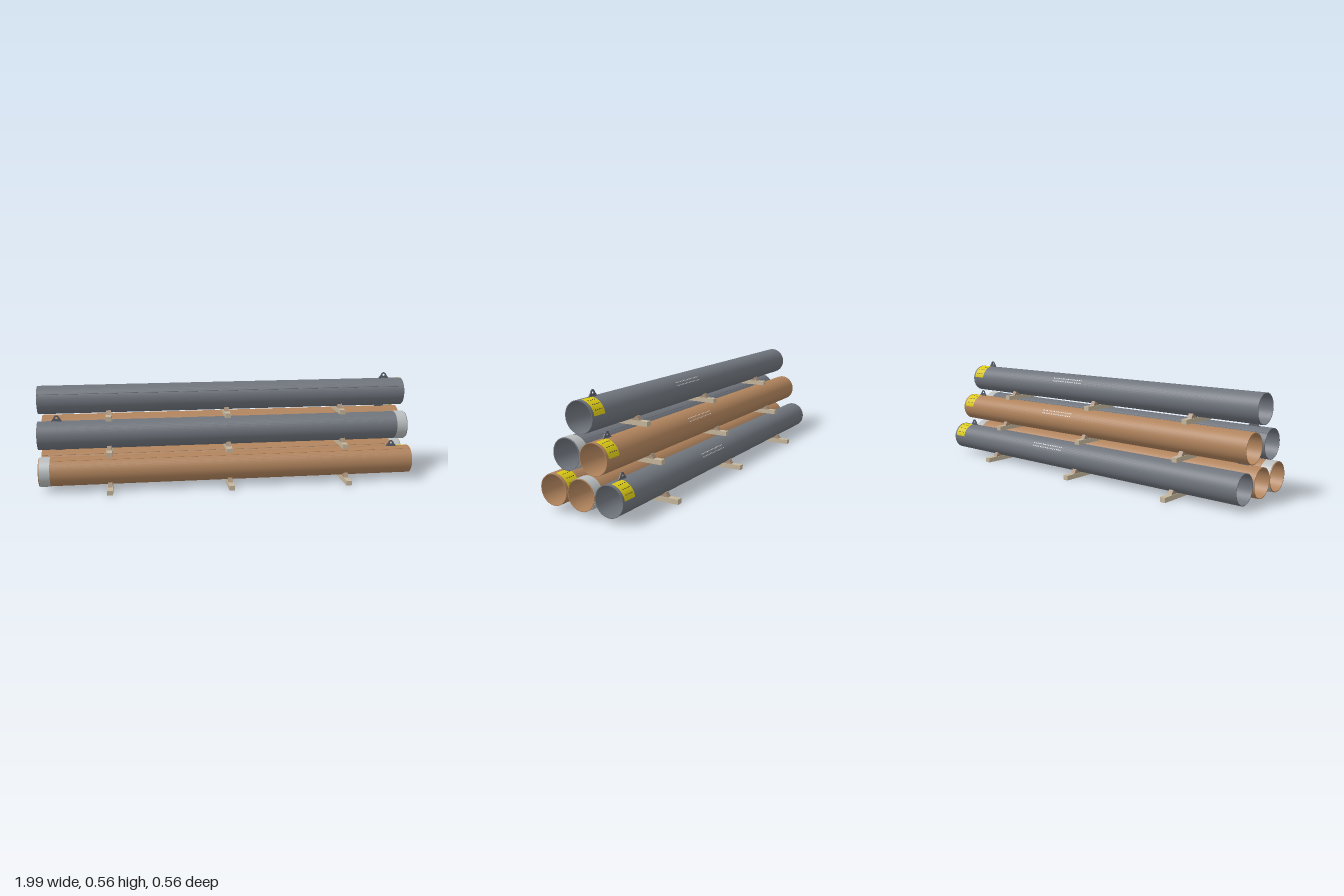
import * as THREE from 'three';
import { mergeGeometries } from 'three/addons/utils/BufferGeometryUtils.js';

const mat = (name, color) => {
  const m = new THREE.MeshStandardMaterial({ color });
  m.name = name;
  return m;
};

const R = 0.075, WALL = 0.0035, HALF = 0.993;
const rad = THREE.MathUtils.degToRad;

// Part of a surface of revolution round the x axis, from (x0, r0) to (x1, r1).
// Angles are in degrees from the top of the pipe towards the back.
function sweep(x0, r0, x1, r1, a0 = 0, a1 = 360, segments = 56) {
  const points = [new THREE.Vector2(r0, x0), new THREE.Vector2(r1, x1)];
  return new THREE.LatheGeometry(points, segments, -Math.PI / 2 - rad(a1), rad(a1 - a0)).rotateZ(-Math.PI / 2);
}

// Hollow tube with crisp rims
function tube(x0, x1, outer, inner) {
  return mergeGeometries([
    sweep(x0, outer, x1, outer), sweep(x1, outer, x1, inner),
    sweep(x1, inner, x0, inner), sweep(x0, inner, x0, outer),
  ]);
}

// Flat outline in x and y, given thickness and centred on z
function plate(shape, thickness) {
  return new THREE.ExtrudeGeometry(shape, { depth: thickness, bevelEnabled: false, curveSegments: 12 })
    .translate(0, 0, -thickness / 2);
}

// Lifting lug: rounded plate with an eye
function lugGeometry() {
  const s = new THREE.Shape();
  s.moveTo(-0.026, -0.002);
  s.lineTo(0.026, -0.002);
  s.lineTo(0.026, 0.004);
  s.lineTo(0.0135, 0.021);
  s.absarc(0, 0.0185, 0.0135, 0.2, Math.PI - 0.2, false);
  s.lineTo(-0.026, 0.004);
  s.closePath();
  const eye = new THREE.Path();
  eye.absarc(0, 0.018, 0.0065, 0, Math.PI * 2, true);
  s.holes.push(eye);
  const foot = new THREE.BoxGeometry(0.054, 0.004, 0.011).toNonIndexed();
  return mergeGeometries([plate(s, 0.005), foot]);
}

// Wedge lying against the lower flank of an end pipe
function wedgeGeometry() {
  const s = new THREE.Shape([[0.07, 0], [0.057, 0.022], [0.053, 0.022], [0.043, 0.0135], [0.031, 0.0065], [0.015, 0.001], [0.015, 0]]
    .map(([a, b]) => new THREE.Vector2(a, b)));
  return plate(s, 0.024).rotateY(-Math.PI / 2);
}

// Rows of small plain paint dashes
function dashes(angles, x0, x1, count, width, r) {
  const parts = [];
  const step = (x1 - x0) / count;
  for (const a of angles)
    for (let i = 0; i < count; i++)
      parts.push(sweep(x0 + i * step, r, x0 + (i + 0.55) * step, r, a, a + width, 3));
  return mergeGeometries(parts);
}

export function createModel() {
  const steel = mat('grey steel', 0x6f747c);
  const brown = mat('brown coating', 0xb0835c);
  const bandGrey = mat('pale band', 0xb9bdbd);
  const yellow = mat('yellow label', 0xdcca14);
  const timber = mat('timber', 0xc5b69c);
  const wedgeWood = mat('dark timber', 0xa8917a);
  const lugSteel = mat('dark steel', 0x5c6069);
  const white = mat('white paint', 0xdcdcdc);
  const dark = mat('dark print', 0x3a3a30);

  const model = new THREE.Group();
  model.name = 'pipeStack';
  const add = (parent, name, geometry, material, x = 0, y = 0, z = 0) => {
    const m = new THREE.Mesh(geometry, material);
    m.name = name;
    m.position.set(x, y, z);
    parent.add(m);
    return m;
  };

  const pipeGeo = tube(-HALF, HALF, R, R - WALL);
  const bandGeo = tube(-0.027, 0.027, R + 0.002, R - 0.0005);
  const lugGeo = lugGeometry();
  const labelGeo = sweep(0.905, R + 0.0012, 0.98, R + 0.0012, 4, 82, 16);
  const printGeo = dashes([22, 42, 62], 0.915, 0.972, 4, 3, R + 0.002);
  const markGeo = dashes([46, 59], 0.09, 0.31, 16, 4, R + 0.001);
  const beadGeo = new THREE.CylinderGeometry(0.0014, 0.0014, 2 * HALF, 6).rotateZ(Math.PI / 2);

  // Pipes: height, depth, shift along x, coating, lug end, band end, weld angle
  const pipes = [
    [0.1, 0.155, 0.002, brown, 1, -1, -28],
    [0.1, 0, 0.001, brown, -1, 1, -40],
    [0.1, -0.155, 0.003, steel, 1, 0, -45],
    [0.275, 0.0775, -0.004, steel, -1, 1, 40],
    [0.275, -0.0775, 0.004, brown, 1, 0, -50],
    [0.45, 0, -0.004, steel, 1, 0, -58],
  ];
  for (const [y, z, x, coat, lugEnd, bandEnd, weld] of pipes) {
    const g = new THREE.Group();
    g.name = 'pipe';
    g.position.set(x, y, z);
    model.add(g);
    add(g, 'pipeWall', pipeGeo, coat);
    add(g, 'weldSeam', beadGeo, coat, 0, R * Math.cos(rad(weld)), -R * Math.sin(rad(weld)));
    add(g, 'liftingLug', lugGeo, lugSteel, lugEnd * 0.895, R, 0);
    if (bandEnd) add(g, 'endBand', bandGeo, bandGrey, bandEnd * 0.962, 0, 0);
    if (lugEnd > 0) {
      add(g, 'label', labelGeo, yellow);
      add(g, 'labelPrint', printGeo, dark);
      add(g, 'paintDashes', markGeo, white);
    }
  }

  // Timber bearers with a wedge at each outer pipe: base height, thickness, half length, outer pipe depth
  const wedgeGeo = wedgeGeometry();
  const layers = [
    [0, 0.025, 0.282, 0.155],
    [0.177, 0.0235, 0.192, 0.0775],
    [0.3505, 0.0235, 0.116, 0],
  ];
  for (const [y, h, half, outer] of layers) {
    const beam = new THREE.BoxGeometry(0.03, h, 2 * half);
    for (const x of [-0.63, 0, 0.63]) {
      add(model, 'bearer', beam, timber, x, y + h / 2, 0);
      for (const side of [1, -1]) {
        const w = add(model, 'wedge', wedgeGeo, wedgeWood, x, y + h, side * outer);
        if (side < 0) w.rotation.y = Math.PI;
      }
    }
  }
  return model;
}
